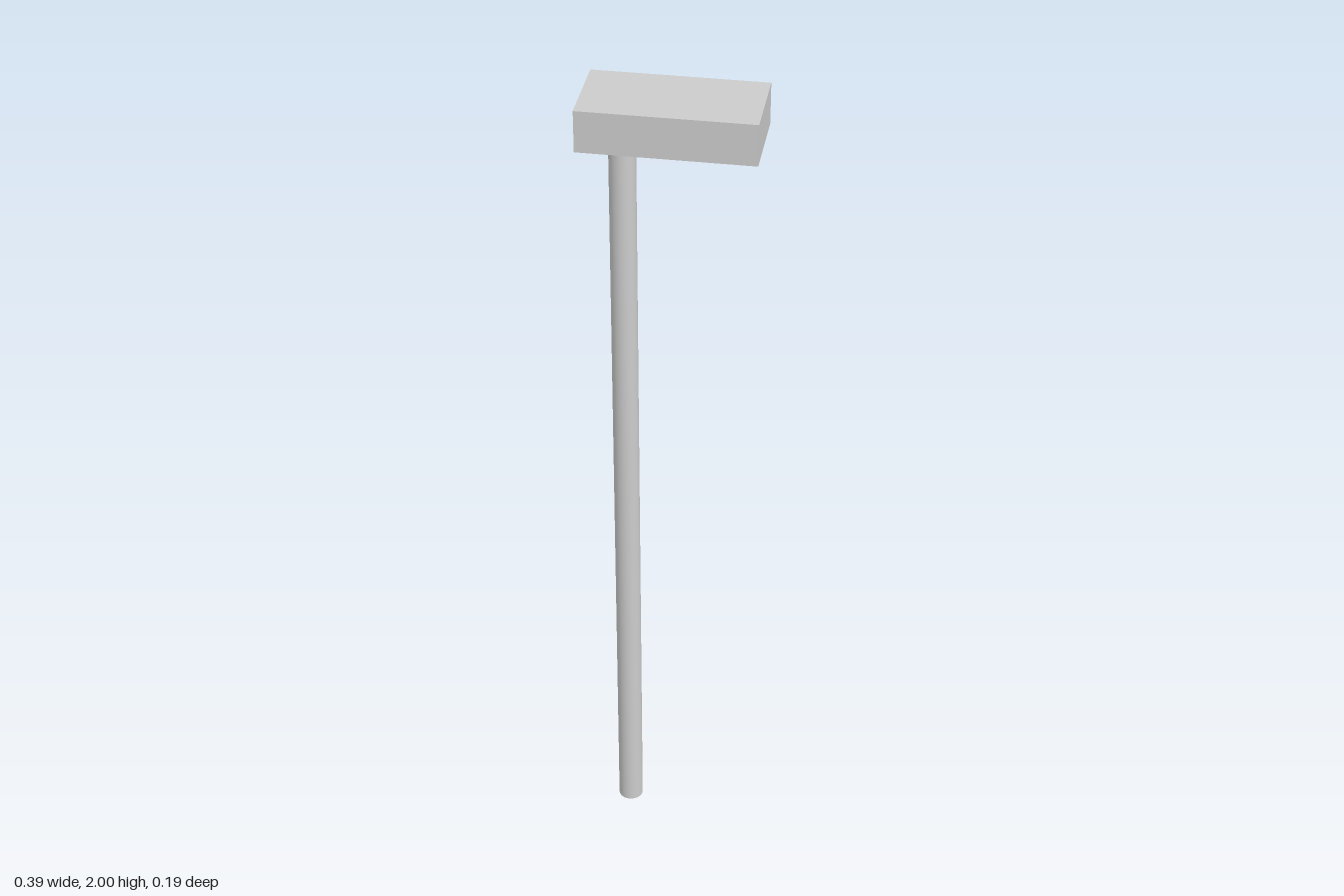
import * as THREE from 'three';

const material = new THREE.MeshStandardMaterial({ color: 0xcccccc });

function addPart(group, name, geometry, x, y, z) {
  const mesh = new THREE.Mesh(geometry, material);
  mesh.name = name;
  mesh.position.set(x, y, z);
  group.add(mesh);
}

export function createModel() {
  const group = new THREE.Group();
  group.name = 'lampPost';

  const headHeight = 0.096;
  const poleHeight = 2 - headHeight;

  // Round pole, set towards one end of the head
  addPart(group, 'pole', new THREE.CylinderGeometry(0.03, 0.03, poleHeight, 32), -0.11, poleHeight / 2, 0);

  // Flat rectangular head resting on the pole
  addPart(group, 'head', new THREE.BoxGeometry(0.39, headHeight, 0.195), 0, 2 - headHeight / 2, 0);

  return group;
}
